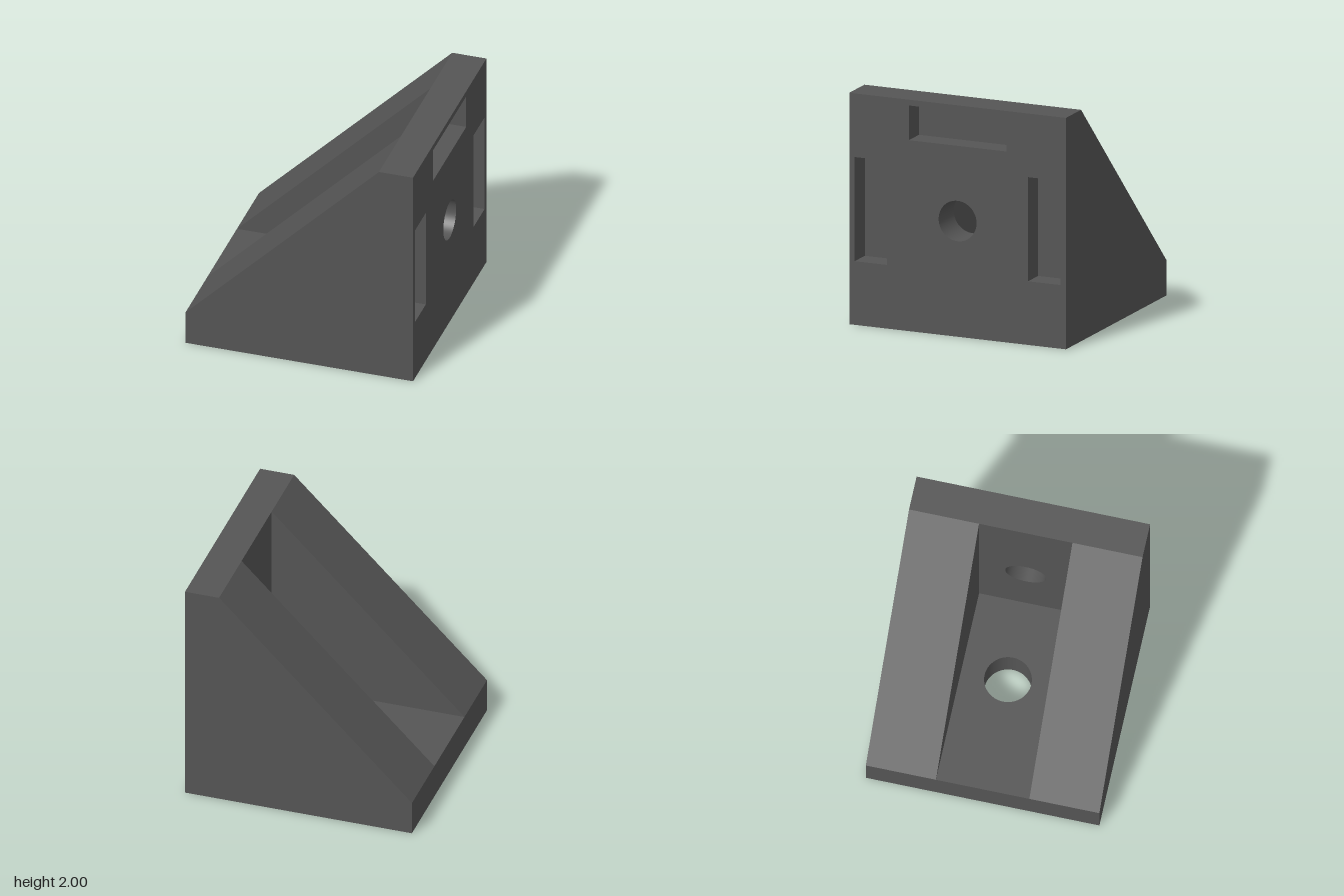
import * as THREE from 'three';
import { mergeGeometries } from 'three/addons/utils/BufferGeometryUtils.js';

const X = new THREE.Vector3(1, 0, 0);
const Y = new THREE.Vector3(0, 1, 0);
const Z = new THREE.Vector3(0, 0, 1);
const SLOPE = new THREE.Vector3(1, 1, 0).normalize();
const T = 0.3;            // plate thickness
const POCKET_DEPTH = 0.2;
const SEGMENTS = 64;

// Frame with local x along u, local y along v, facing u cross v
function frame(u, v, x, y, z) {
  return new THREE.Matrix4().makeBasis(u, v, u.clone().cross(v)).setPosition(x, y, z);
}

const rect = (x0, y0, x1, y1) => [[x0, y0], [x1, y0], [x1, y1], [x0, y1]];
const toVectors = (pts) => pts.map(([x, y]) => new THREE.Vector2(x, y));

// Flat face with an optional round hole and rectangular pocket openings
function face(matrix, pts, holeRadius = 0, pockets = []) {
  const shape = new THREE.Shape(toVectors(pts));
  if (holeRadius) shape.holes.push(new THREE.Path().absarc(0, 0, holeRadius, 0, Math.PI * 2, true));
  for (const [x, y, w, h] of pockets) {
    shape.holes.push(new THREE.Path(toVectors(rect(x - w / 2, y - h / 2, x + w / 2, y + h / 2))));
  }
  return new THREE.ShapeGeometry(shape, SEGMENTS / 2).applyMatrix4(matrix);
}

// Turn a closed form into a cavity
function insideOut(geometry, index = Array.from(geometry.index.array)) {
  geometry.setIndex(index.reverse());
  const n = geometry.attributes.normal;
  for (let i = 0; i < n.count; i++) n.setXYZ(i, -n.getX(i), -n.getY(i), -n.getZ(i));
  return geometry;
}

// Blind pocket sunk below a face, without the lid of the box
function pocket(matrix, [x, y, w, h]) {
  const box = new THREE.BoxGeometry(w, h, POCKET_DEPTH);
  const index = Array.from(box.index.array);
  index.splice(24, 6);
  return insideOut(box, index).translate(x, y, -POCKET_DEPTH / 2).applyMatrix4(matrix);
}

// Lining of a through hole
function bore(matrix, radius) {
  const g = new THREE.CylinderGeometry(radius, radius, T, SEGMENTS, 1, true);
  return insideOut(g.rotateX(Math.PI / 2).rotateZ(Math.PI / 2).translate(0, 0, -T / 2)).applyMatrix4(matrix);
}

export function createModel() {
  const group = new THREE.Group();
  group.name = 'cornerBracket';
  const material = new THREE.MeshStandardMaterial({ color: 0x555555 });
  const add = (name, parts) => {
    const mesh = new THREE.Mesh(mergeGeometries(parts), material);
    mesh.name = name;
    group.add(mesh);
  };

  // Pockets as centre and size, measured from the middle of each mounting face
  const sidePockets = [[0.8, 0, 0.3, 0.9], [0, 0.8, 0.9, 0.3], [0, -0.8, 0.9, 0.3]];
  const basePockets = [...sidePockets, [-0.8, 0, 0.3, 0.9]];

  // Base plate: underside, trough floor and low end
  const under = frame(X, Z, 0, 0, 0);
  add('basePlate', [
    face(under, rect(-1, -1, 1, 1), 0.2, basePockets),
    ...basePockets.map((p) => pocket(under, p)),
    bore(under, 0.2),
    face(frame(Z, X, 0, T, 0), rect(-0.4, -1, 0.4, 0.7), 0.2),
    face(frame(Z, Y, -1, 0, 0), rect(-1, 0, 1, T)),
  ]);

  // Upright plate: outer side, trough wall and top edge
  const outer = frame(Y, Z, 1, 1, 0);
  add('uprightPlate', [
    face(outer, rect(-1, -1, 1, 1), 0.175, sidePockets),
    ...sidePockets.map((p) => pocket(outer, p)),
    bore(outer, 0.175),
    face(frame(Z, Y, 0.7, 1, 0), rect(-0.4, -0.7, 0.4, 1), 0.175),
    face(frame(Z, X, 0, 2, 0), rect(-1, 0.7, 1, 1)),
  ]);

  // Thick side ribs: full outer profile, inner triangle and sloping face
  const profile = [[-1, 0], [1, 0], [1, 2], [0.7, 2], [-1, T]];
  const triangle = [[-1, T], [0.7, T], [0.7, 2]];
  const swap = (pts) => pts.map(([x, y]) => [y, x]);
  const slope = (z) => face(frame(Z, SLOPE, -1, T, z), rect(-0.3, 0, 0.3, 1.7 * Math.SQRT2));
  add('frontRib', [
    face(frame(X, Y, 0, 0, 1), profile),
    face(frame(Y, X, 0, 0, 0.4), swap(triangle)),
    slope(0.7),
  ]);
  add('backRib', [
    face(frame(Y, X, 0, 0, -1), swap(profile)),
    face(frame(X, Y, 0, 0, -0.4), triangle),
    slope(-0.7),
  ]);

  return group;
}
